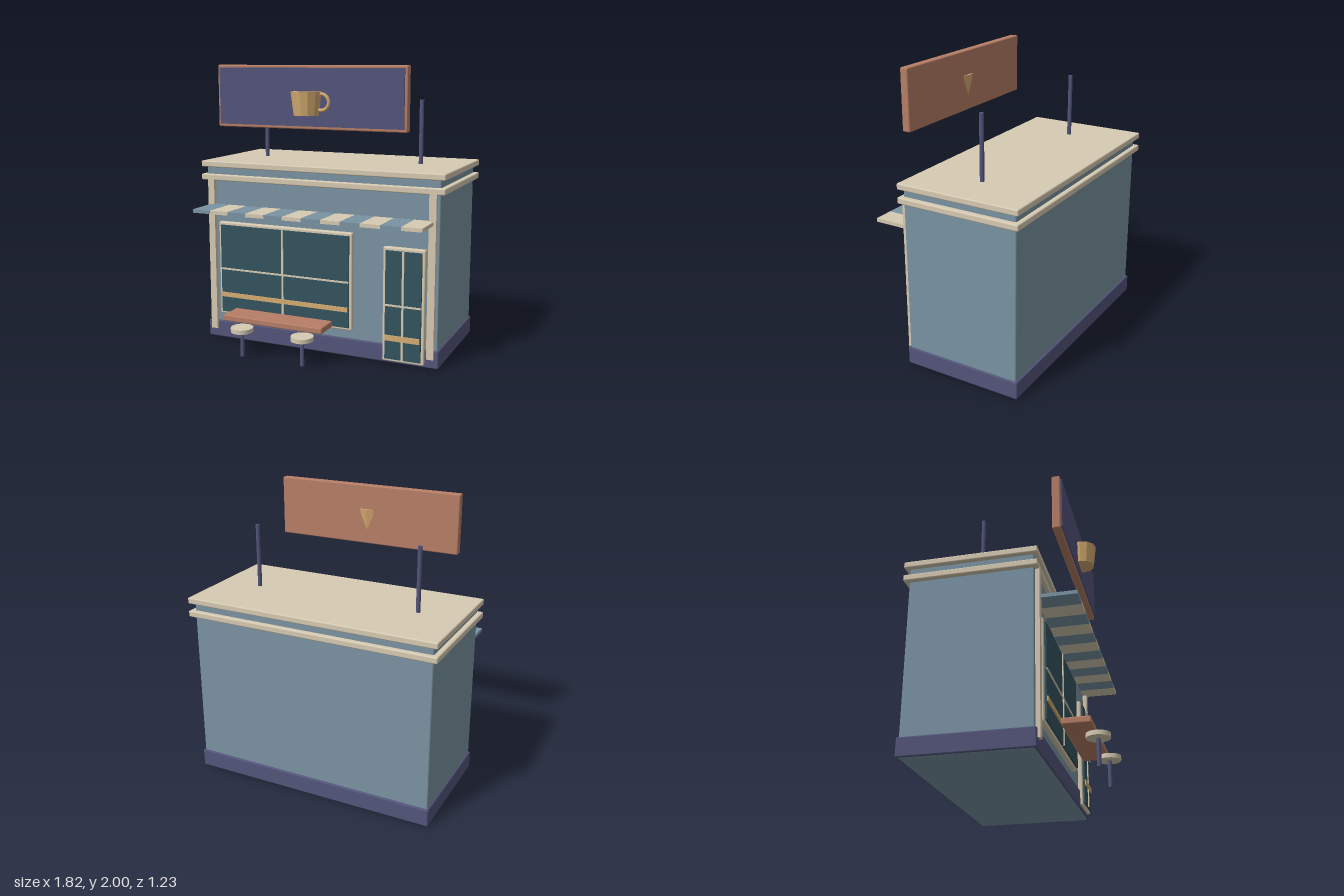
import * as THREE from 'three';
import { RoundedBoxGeometry } from 'three/addons/geometries/RoundedBoxGeometry.js';

const mat = (name, color) => {
  const m = new THREE.MeshStandardMaterial({ color });
  m.name = name;
  return m;
};

export function createModel() {
  const group = new THREE.Group();
  group.name = 'coffeeShop';

  const wall = mat('wallBlue', 0x7a93a2);
  const cream = mat('cream', 0xd6cab2);
  const navy = mat('navy', 0x53557a);
  const copper = mat('copper', 0xb67e66);
  const gold = mat('gold', 0xd4ab70);
  const glass = mat('darkGlass', 0x34545f);

  const add = (name, geometry, material, x = 0, y = 0, z = 0) => {
    const mesh = new THREE.Mesh(geometry, material);
    mesh.name = name;
    mesh.position.set(x, y, z);
    group.add(mesh);
    return mesh;
  };
  // Box given by its extents; r > 0 rounds the edges
  const box = (name, material, x0, x1, y0, y1, z0, z1, r = 0) => {
    const s = [x1 - x0, y1 - y0, z1 - z0];
    const g = r > 0 ? new RoundedBoxGeometry(...s, 2, r) : new THREE.BoxGeometry(...s);
    return add(name, g, material, (x0 + x1) / 2, (y0 + y1) / 2, (z0 + z1) / 2);
  };
  const post = (name, x, y0, y1, z, r) =>
    add(name, new THREE.CylinderGeometry(r, r, y1 - y0, 10), navy, x, (y0 + y1) / 2, z);

  // Building shell
  box('walls', wall, -0.875, 0.875, 0, 1.3, -0.583, 0.243, 0.01);
  box('plinth', navy, -0.885, 0.885, 0.004, 0.13, -0.597, 0.256, 0.01);
  box('lowerCornice', cream, -0.91, 0.91, 1.179, 1.223, -0.615, 0.27, 0.009);
  box('roofCornice', cream, -0.91, 0.91, 1.274, 1.318, -0.615, 0.27, 0.009);
  for (const s of [-1, 1]) {
    const c = s * 0.83;
    box('cornerTrim', cream, c - 0.025, c + 0.025, 0.07, 1.19, 0.22, 0.272);
  }

  // Window and door: frame, glass, glazing bars and a painted gold band
  const glazed = (name, x0, x1, y0, y1, barX, barY, bandY0, bandY1) => {
    box(name + 'Frame', cream, x0, x1, y0, y1, 0.22, 0.275, 0.01);
    box(name + 'Glass', glass, x0 + 0.022, x1 - 0.02, y0 + 0.021, y1 - 0.021, 0.26, 0.288);
    box(name + 'UprightBar', cream, barX - 0.007, barX + 0.007, y0 + 0.021, y1 - 0.021, 0.28, 0.296);
    box(name + 'CrossBar', cream, x0 + 0.022, x1 - 0.02, barY - 0.006, barY + 0.006, 0.28, 0.295);
    box(name + 'Band', gold, x0 + 0.024, x1 - 0.026, bandY0, bandY1, 0.288, 0.297);
  };
  glazed('window', -0.77, 0.272, 0.195, 0.882, -0.25, 0.54, 0.331, 0.363);
  glazed('door', 0.495, 0.79, 0.02, 0.812, 0.643, 0.418, 0.172, 0.21);

  // Striped awning
  const stripes = 12, stripeW = 1.675 / stripes;
  for (let i = 0; i < stripes; i++) {
    const x = -0.8375 + i * stripeW;
    box('awningStripe', i % 2 ? cream : wall, x, x + stripeW, 0.98, 1.005, 0.23, 0.506);
  }

  // Counter and stools
  box('counter', copper, -0.6, 0.156, 0.23, 0.274, 0.341, 0.524, 0.009);
  for (const x of [-0.44, 0.022]) {
    post('stoolPost', x, 0, 0.185, 0.541, 0.014);
    add('stoolSeat', new THREE.CylinderGeometry(0.078, 0.078, 0.03, 24), cream, x, 0.194, 0.541);
  }

  // Roof posts and sign board
  for (const x of [-0.605, 0.603]) post('signPost', x, 1.3, 1.764, -0.175, 0.015);
  box('signBoard', copper, -0.685, 0.685, 1.58, 2, 0.32, 0.378, 0.009);
  box('signPanel', navy, -0.666, 0.666, 1.6, 1.982, 0.36, 0.387);

  // Cup on the sign
  const cup = new THREE.CylinderGeometry(0.104, 0.085, 0.155, 12).toNonIndexed();
  cup.computeVertexNormals();
  add('cup', cup, gold, 0, 1.752, 0.406);
  const handle = new THREE.TorusGeometry(0.053, 0.012, 8, 24, Math.PI * 1.5);
  handle.rotateZ(-Math.PI * 0.75);
  add('cupHandle', handle, gold, 0.105, 1.762, 0.406);

  return group;
}
